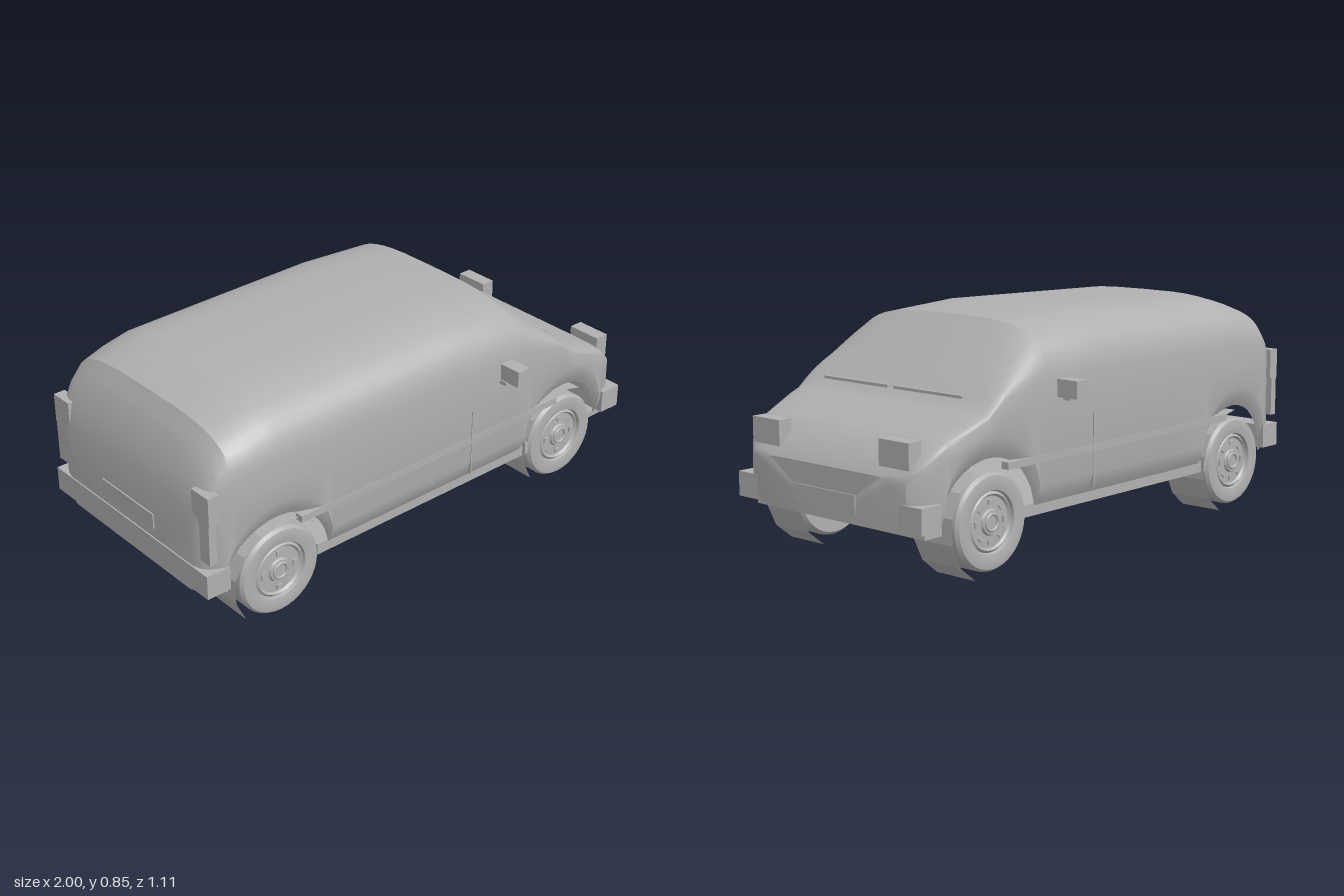
import * as THREE from 'three';
import { toCreasedNormals } from 'three/addons/utils/BufferGeometryUtils.js';

const WHEELS = [-0.697, 0.665], AXLE_Y = 0.195, ARCH_R = 0.215;

// Body stations along the length: x, top height, half width, roundness of the upper corners
const STATIONS = [
  [-0.995, 0.42, 0.36, 6], [-0.985, 0.52, 0.395, 6], [-0.97, 0.6, 0.415, 5],
  [-0.93, 0.7, 0.437, 4], [-0.885, 0.775, 0.45, 3.6], [-0.8, 0.803, 0.462, 3.6],
  [-0.7, 0.828, 0.468, 3.6], [-0.3, 0.838, 0.47, 3.6], [0.1, 0.848, 0.47, 3.6],
  [0.4, 0.828, 0.47, 3.6], [0.55, 0.696, 0.47, 5], [0.7, 0.565, 0.467, 9],
  [0.74, 0.55, 0.464, 9], [0.88, 0.49, 0.445, 9], [0.95, 0.43, 0.415, 9],
  [0.985, 0.39, 0.375, 9], [0.995, 0.375, 0.32, 9],
];

function stationAt(x) {
  let i = 0;
  while (i < STATIONS.length - 2 && x > STATIONS[i + 1][0]) i++;
  const a = STATIONS[i], b = STATIONS[i + 1];
  const t = (x - a[0]) / (b[0] - a[0]);
  return a.map((v, k) => v + (b[k] - v) * t);
}

// Lower edge of the body, lifted over each wheel arch
function lowerEdge(x) {
  let y = x > -0.9 && x < 0.87 ? 0.215 : 0.2;
  for (const cx of WHEELS) {
    const d = ARCH_R * ARCH_R - (x - cx) ** 2;
    if (d > 0) y = Math.max(y, AXLE_Y + Math.sqrt(d));
  }
  return y;
}

// One cross-section from the left lower edge over the roof to the right lower edge
function section(x) {
  const [, top, w, n] = stationAt(x);
  const low = lowerEdge(x);
  const shoulder = Math.max(low + 0.075, Math.min(0.55, top - 0.07));
  const half = [[w * 0.94, low], [w * 0.975, low + 0.03], [w, low + 0.07]];
  const steps = 12;
  for (let k = 0; k <= steps; k++) {
    const a = (k / steps) * Math.PI / 2;
    half.push([
      w * Math.max(0, Math.cos(a)) ** (2 / n),
      shoulder + (top - shoulder) * Math.sin(a) ** (2 / n),
    ]);
  }
  half[half.length - 1][0] = 0;
  const mirrored = half.slice(0, -1).reverse().map(([z, y]) => [-z, y]);
  return [...half, ...mirrored].map(([z, y]) => [x, y, z]);
}

function bodyGeometry() {
  const xs = STATIONS.map((s) => s[0]);
  for (const cx of WHEELS) {
    for (let k = 0; k <= 16; k++) xs.push(cx + ARCH_R * Math.cos(k / 16 * Math.PI));
  }
  xs.sort((a, b) => a - b);
  const rings = xs.filter((x, i) => i === 0 || x - xs[i - 1] > 0.0005).map(section);
  const m = rings[0].length, last = rings.length - 1;
  const pos = rings.flat(2), index = [];
  for (let i = 0; i < last; i++) {
    for (let j = 0; j < m - 1; j++) {
      const a = i * m + j, b = a + m;
      index.push(a, b, a + 1, b, b + 1, a + 1);
    }
  }
  // Flat tail and nose
  const tail = pos.length / 3, nose = tail + 1;
  pos.push(xs[0], 0.2, 0, xs[xs.length - 1], 0.2, 0);
  for (let j = 0; j < m - 1; j++) {
    index.push(tail, j, j + 1, nose, last * m + j + 1, last * m + j);
  }
  const g = new THREE.BufferGeometry();
  g.setAttribute('position', new THREE.Float32BufferAttribute(pos, 3));
  g.setIndex(index);
  return toCreasedNormals(g, 0.5);
}

export function createModel() {
  const model = new THREE.Group();
  model.name = 'van';
  const grey = new THREE.MeshStandardMaterial({ color: 0xb0b0b0 });
  grey.name = 'plain grey';

  const add = (name, geometry, parent = model) => {
    const mesh = new THREE.Mesh(geometry, grey);
    mesh.name = name;
    parent.add(mesh);
    return mesh;
  };
  // Box given by its limits on each axis
  const box = (name, x0, x1, y0, y1, z0, z1) => {
    const mesh = add(name, new THREE.BoxGeometry(x1 - x0, y1 - y0, z1 - z0));
    mesh.position.set((x0 + x1) / 2, (y0 + y1) / 2, (z0 + z1) / 2);
    return mesh;
  };
  // The same box on both sides
  const pair = (name, x0, x1, y0, y1, z0, z1) => {
    box(name + 'Left', x0, x1, y0, y1, z0, z1);
    box(name + 'Right', x0, x1, y0, y1, -z1, -z0);
  };

  add('body', bodyGeometry());
  box('floor', -0.9, 0.94, 0.178, 0.2, -0.41, 0.41);
  pair('sill', -0.53, 0.5, 0.18, 0.222, 0.4, 0.442);

  // Bumpers and number plates
  box('frontBumper', 0.9, 0.99, 0.207, 0.295, -0.447, 0.447);
  box('rearBumper', -1, -0.905, 0.215, 0.305, -0.447, 0.447);
  box('frontPlate', 0.993, 0.999, 0.235, 0.297, -0.15, 0.15);
  box('rearPlate', -1, -0.992, 0.34, 0.4, -0.15, 0.15);

  // Lamps
  pair('headlight', 0.922, 0.977, 0.405, 0.495, 0.243, 0.38);
  pair('tailLight', -0.985, -0.94, 0.49, 0.6, 0.36, 0.45);
  pair('lowerTailLight', -0.985, -0.955, 0.34, 0.49, 0.36, 0.447);

  // Side details
  pair('sideTrim', -0.62, 0.61, 0.365, 0.39, 0.44, 0.472);
  pair('doorSeam', 0.168, 0.173, 0.235, 0.5, 0.455, 0.473);
  pair('mirror', 0.307, 0.362, 0.577, 0.639, 0.468, 0.555);
  pair('doorHandle', 0.302, 0.33, 0.563, 0.577, 0.46, 0.5);

  // Wipers at the foot of the windscreen
  box('wiperLeft', 0.662, 0.678, 0.594, 0.604, 0.025, 0.343);
  box('wiperRight', 0.662, 0.678, 0.594, 0.604, -0.325, -0.003);

  // Wheels: open faceted tread band, tyre side, rim and hub
  const tread = new THREE.CylinderGeometry(0.2, 0.2, 0.175, 14, 1, true).toNonIndexed();
  tread.computeVertexNormals();
  tread.rotateX(Math.PI / 2).rotateZ(Math.PI / 14 + Math.PI / 2);
  const lathe = (points) => toCreasedNormals(
    new THREE.LatheGeometry(points.map(([r, z]) => new THREE.Vector2(r, z)), 36).rotateX(Math.PI / 2), 0.4);
  const tyre = lathe([[0.1, -0.05], [0.155, -0.05], [0.167, -0.035], [0.167, 0.07],
    [0.158, 0.083], [0.135, 0.0875], [0.108, 0.082], [0.1, 0.06], [0.1, -0.05]]);
  const rim = lathe([[0, 0.045], [0.104, 0.045], [0.104, 0.07], [0.095, 0.078],
    [0.088, 0.07], [0.045, 0.072], [0.04, 0.08], [0, 0.08]]);
  const cap = new THREE.TorusGeometry(0.028, 0.006, 8, 24);
  const slot = new THREE.BoxGeometry(0.016, 0.022, 0.008);

  WHEELS.forEach((x, i) => {
    for (const side of [1, -1]) {
      const wheel = new THREE.Group();
      wheel.name = (i ? 'front' : 'rear') + 'Wheel' + (side > 0 ? 'Left' : 'Right');
      wheel.position.set(x, AXLE_Y, side * 0.3675);
      if (side < 0) wheel.rotation.y = Math.PI;
      add('tread', tread, wheel);
      add('tyre', tyre, wheel);
      add('rim', rim, wheel);
      add('hubRing', cap, wheel).position.z = 0.081;
      for (let k = 0; k < 8; k++) {
        const a = k / 8 * Math.PI * 2;
        const s = add('rimBlock', slot, wheel);
        s.position.set(0.068 * Math.cos(a), 0.068 * Math.sin(a), 0.073);
        s.rotation.z = a;
      }
      model.add(wheel);
    }
  });
  return model;
}
